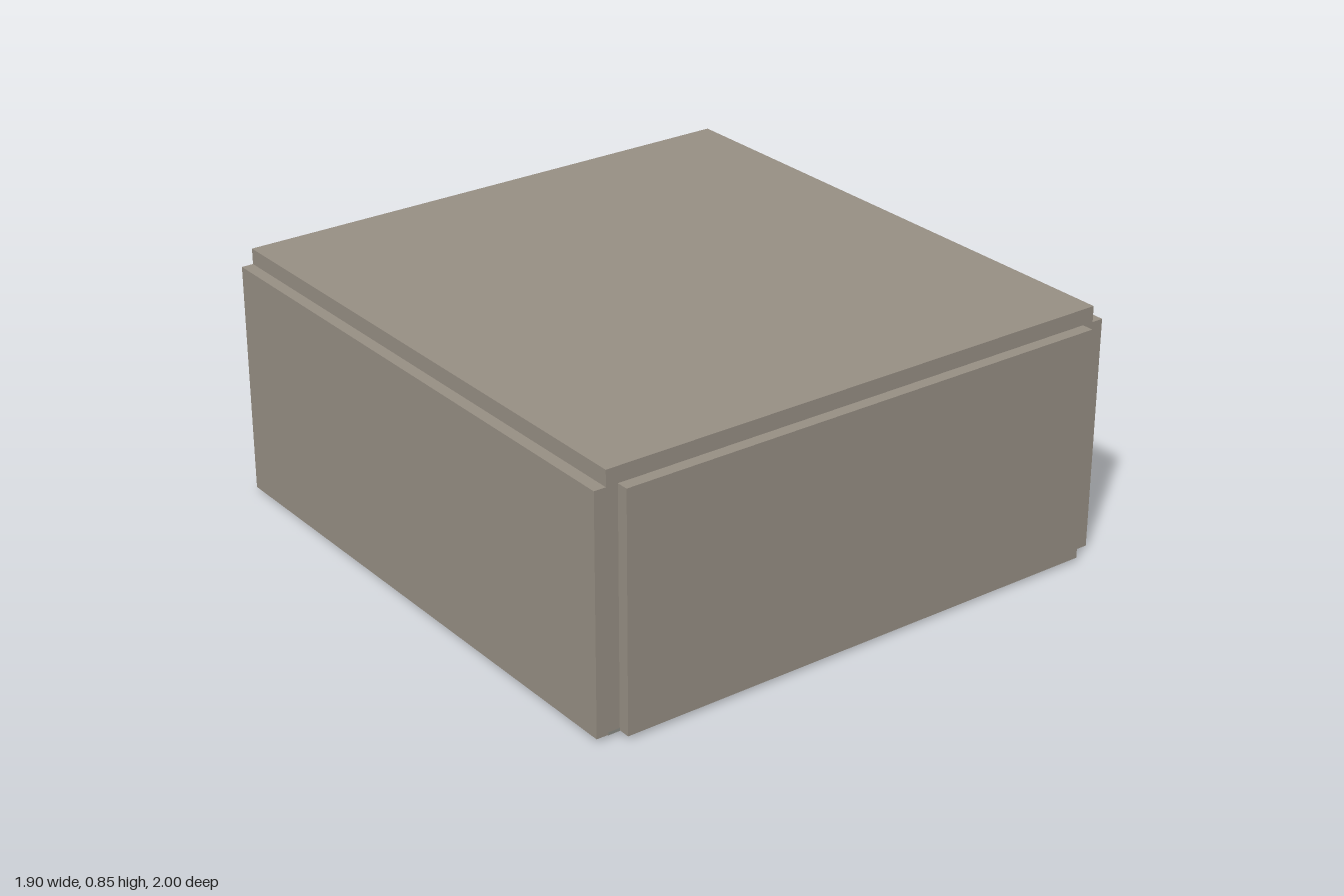
import * as THREE from 'three';

export function createModel() {
  const model = new THREE.Group();
  const stone = new THREE.MeshStandardMaterial({ color: 0x978f84 });
  const floorMat = new THREE.MeshStandardMaterial({ color: 0x8a8b84 });
  const dark = new THREE.MeshStandardMaterial({ color: 0x2c2b29 });

  const add = (name, geometry, material, x = 0, y = 0, z = 0) => {
    const mesh = new THREE.Mesh(geometry, material);
    mesh.name = name;
    mesh.position.set(x, y, z);
    model.add(mesh);
    return mesh;
  };
  const box = (name, w, h, d, mat, x, y, z) =>
    add(name, new THREE.BoxGeometry(w, h, d), mat, x, y, z);
  const tube = (name, points, radius, segments) =>
    add(name, new THREE.TubeGeometry(
      new THREE.CatmullRomCurve3(points.map((p) => new THREE.Vector3(...p))),
      segments, radius, 6), dark);

  const base = 0.012, top = 0.797, thick = 0.08;
  const wallHeight = top - base, wallY = (top + base) / 2;

  // Slabs reach the middle of the walls
  box('roof', 1.82, 0.053, 1.92, stone, 0, 0.8235, 0);
  box('floor', 1.82, 0.01, 1.92, floorMat, 0, 0.015, 0);

  // Solid walls
  box('frontWall', 1.74, wallHeight, thick, stone, 0, wallY, 0.96);
  for (const side of [-1, 1]) {
    box(side > 0 ? 'leftWall' : 'rightWall', thick, wallHeight, 1.92, stone, side * 0.91, wallY, 0);
  }

  // Back wall outlined around the doorway
  const door = 0.264, doorTop = 0.63;
  const outline = new THREE.Shape([
    [-0.87, base], [-door, base], [-door, doorTop], [door, doorTop],
    [door, base], [0.87, base], [0.87, top], [-0.87, top],
  ].map(([x, y]) => new THREE.Vector2(x, y)));
  add('backWall', new THREE.ExtrudeGeometry(outline, { depth: thick, bevelEnabled: false }),
    stone, 0, 0, -1);

  // Cables climbing the side walls and crossing under the ceiling
  const cables = [[-0.4, 0.005], [-0.2, 0], [0.2, 0.006], [0.4, 0], [0.6, 0.008]];
  for (const [z, foot] of cables) {
    const half = [[0.855, foot], [0.853, 0.3], [0.84, 0.48], [0.77, 0.61], [0.6, 0.71], [0.35, 0.765]];
    const right = half.map(([x, y]) => [-x, y, z]);
    const left = half.map(([x, y]) => [x, y, z]).reverse();
    tube('archCable', [...right, [0, 0.775, z], ...left], 0.008, 48);
    for (const side of [-1, 1]) {
      add('cableFoot', new THREE.SphereGeometry(0.014, 8, 6), dark, side * 0.855, foot + 0.014, z);
    }
  }

  // Slack wire behind the doorway with two hanging ends
  const sag = (x) => 0.67 + 0.15 * (x / 0.86) ** 2 * 0.75;
  tube('slackWire', [-0.87, -0.6, -0.3, 0, 0.3, 0.6, 0.87].map((x) => [x, sag(x), -0.8]), 0.006, 32);
  for (const x of [-0.32, 0.32]) {
    add('hangingWire', new THREE.CylinderGeometry(0.004, 0.004, 0.22, 6), dark, x, sag(x) - 0.11, -0.8);
  }

  return model;
}
